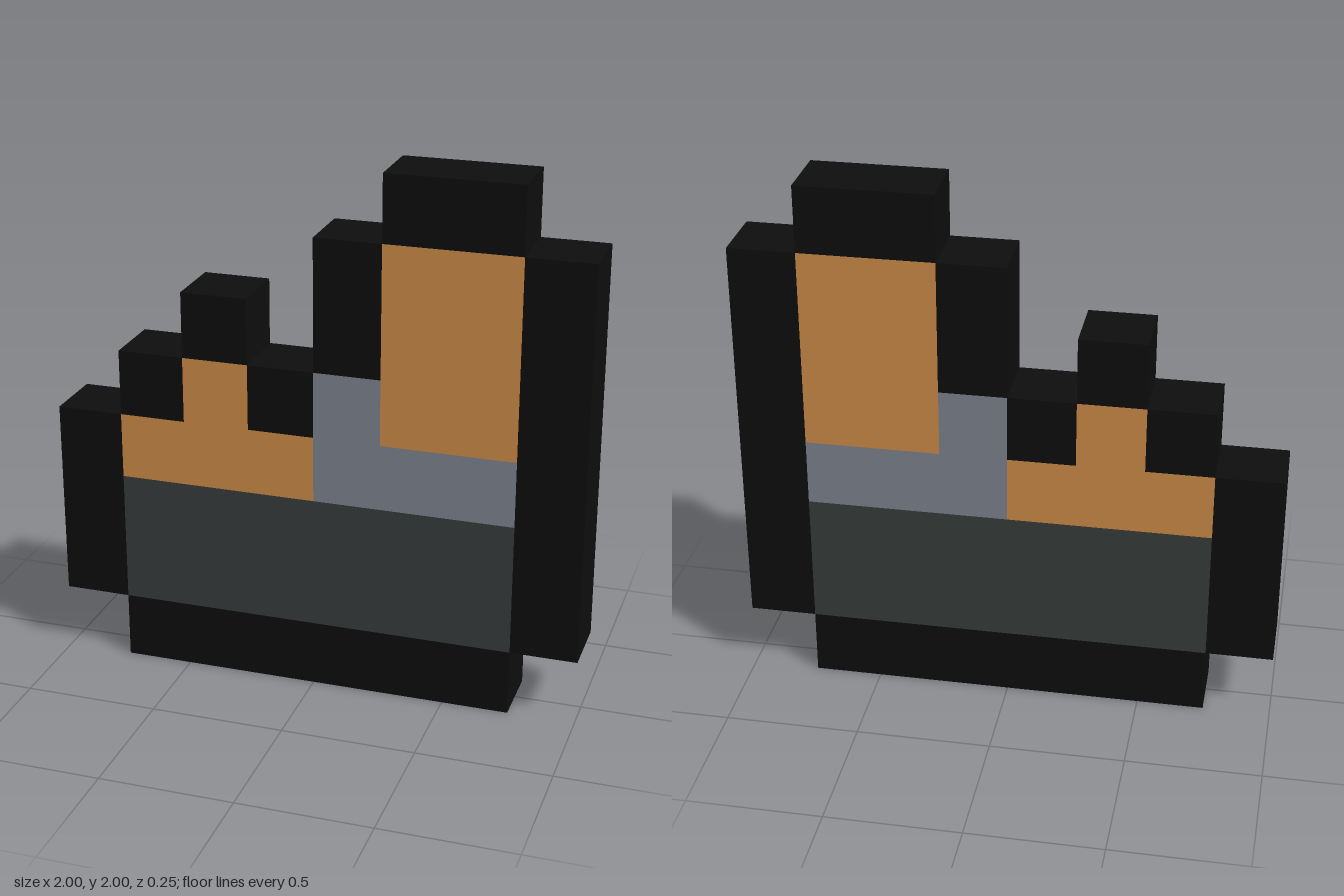
import * as THREE from 'three';

const CELL = 0.25; // one pixel block

export function createModel() {
  const model = new THREE.Group();
  model.name = 'pixelRelief';

  const paint = (name, color) => {
    const m = new THREE.MeshStandardMaterial({ color });
    m.name = name;
    return m;
  };
  const black = paint('outline black', 0x0d0d0d);
  const orange = paint('warm orange', 0xc98946);
  const grey = paint('steel grey', 0x7b818c);
  const slate = paint('dark slate', 0x353b3a);

  // Block given by its left/right columns and bottom/top rows on the pixel grid
  const block = (name, material, x0, x1, y0, y1) => {
    const geometry = new THREE.BoxGeometry((x1 - x0) * CELL, (y1 - y0) * CELL, CELL);
    const mesh = new THREE.Mesh(geometry, material);
    mesh.position.set((x0 + x1) / 2 * CELL, (y0 + y1) / 2 * CELL, 0);
    mesh.name = name;
    model.add(mesh);
  };

  // Black outline
  block('outlineBottom', black, -3, 3, 0, 1);
  block('outlineRightSide', black, -4, -3, 1, 4);
  block('outlineLeftSide', black, 3, 4, 1, 7);
  block('outlineOuterStep', black, -3, -2, 4, 5);
  block('outlineSmallPeak', black, -2, -1, 5, 6);
  block('outlineInnerStep', black, -1, 0, 4, 5);
  block('outlineTallInner', black, 0, 1, 5, 7);
  block('outlineTallTop', black, 1, 3, 7, 8);

  // Dark base
  block('base', slate, -3, 3, 1, 3);

  // Low orange section with its raised point
  block('lowSection', orange, -3, 0, 3, 4);
  block('lowSectionPoint', orange, -2, -1, 4, 5);

  // Grey L-shaped band under the tall orange section
  block('greyBand', grey, 0, 3, 3, 4);
  block('greyBandUpright', grey, 0, 1, 4, 5);
  block('tallSection', orange, 1, 3, 4, 7);

  return model;
}
